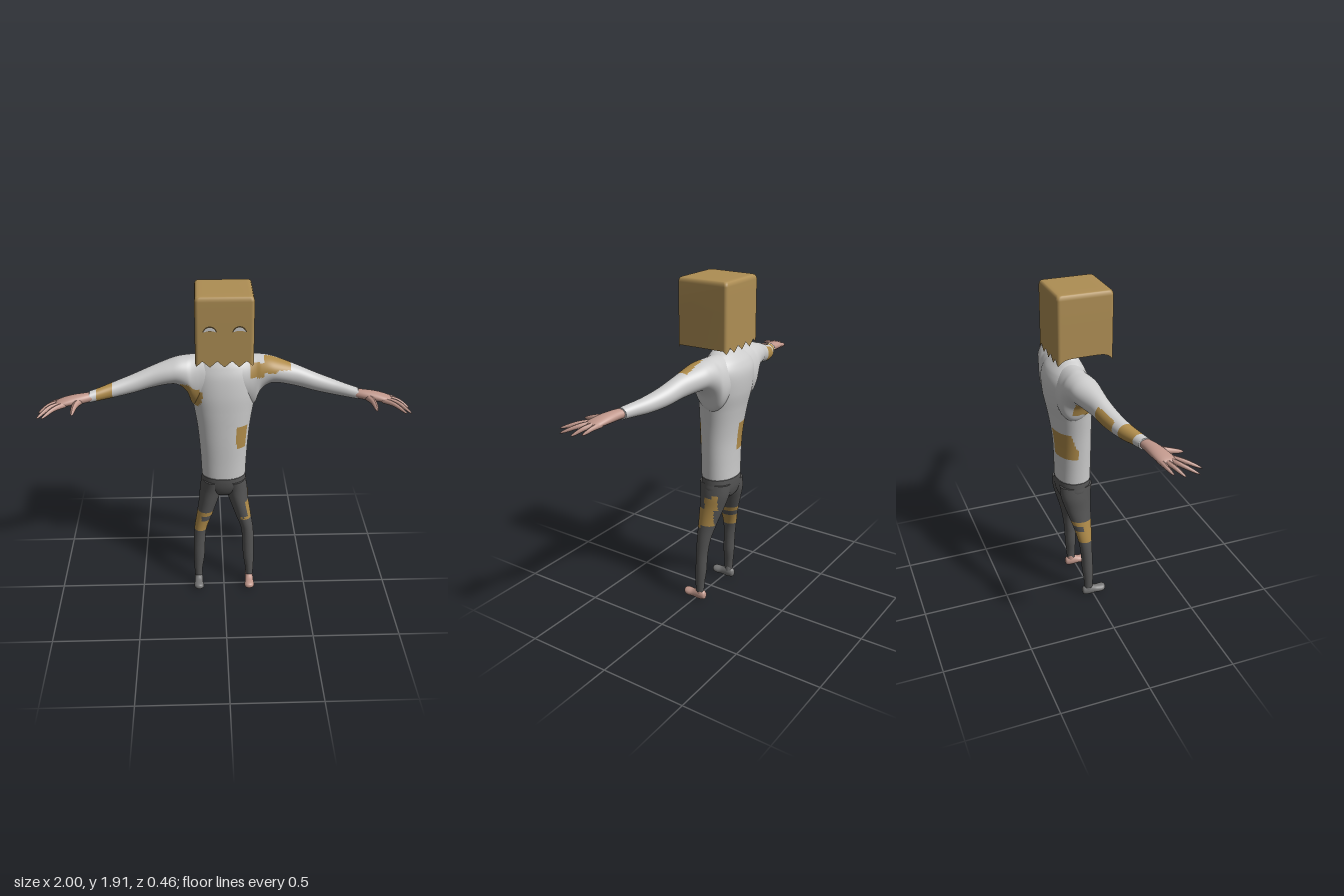
import * as THREE from 'three';

const COLORS = { shirt: 0xcccccc, patch: 0xb08c4a, trousers: 0x545454, skin: 0xc0978b, sock: 0x757575, bag: 0xae8e54, dark: 0x4a3c24 };
const mats = {};
const mat = (key) => (mats[key] ??= new THREE.MeshStandardMaterial({ color: COLORS[key], roughness: 0.9, side: THREE.DoubleSide }));

function addMesh(group, name, geometry, key) {
  const mesh = new THREE.Mesh(geometry, mat(key));
  mesh.name = name;
  group.add(mesh);
  return mesh;
}

// Catmull-Rom sampling of rows of numbers
function sample(rows, n) {
  const at = (i) => rows[Math.min(rows.length - 1, Math.max(0, i))];
  return Array.from({ length: n + 1 }, (_, k) => {
    const f = (k / n) * (rows.length - 1), i = Math.min(Math.floor(f), rows.length - 2), t = f - i;
    return at(i).map((b, c) => {
      const a = at(i - 1)[c], d = at(i + 1)[c], e = at(i + 2)[c];
      return b + 0.5 * t * (d - a + t * (2 * a - 5 * b + 4 * d - e + t * (3 * (b - d) + e - a)));
    });
  });
}

// Smooth closed loft along an axis. Each section: [t, uCentre, uHalf, vCentre, vHalf],
// with (u, v) = (y, z) along x, (z, x) along y, (x, y) along z. Faces where
// paint(x, y, z) is true go to a second mesh in the patch colour.
function loft(group, name, key, axis, sections, { rings = 40, sides = 32, power = 2, mirror = 1, paint } = {}) {
  const w = 'xyz'.indexOf(axis), u = (w + 1) % 3, v = (w + 2) % 3;
  const pos = [], plain = [], patched = [];
  const rows = sample(sections, rings);
  const push = (t, a, b) => {
    const p = [0, 0, 0];
    p[w] = t; p[u] = a; p[v] = b;
    pos.push(p[0] * mirror, p[1], p[2]);
  };
  const bend = (c) => Math.sign(c) * Math.abs(c) ** (2 / power);
  for (const [t, uc, uh, vc, vh] of rows) {
    for (let j = 0; j < sides; j++) {
      const a = (j / sides) * Math.PI * 2;
      push(t, uc + uh * bend(Math.cos(a)), vc + vh * bend(Math.sin(a)));
    }
  }
  for (const r of [rows[0], rows[rings]]) push(r[0], r[1], r[3]);
  const face = (a, b, c, list) => list.push(...(mirror > 0 ? [a, b, c] : [a, c, b]));
  const first = (rings + 1) * sides;
  for (let j = 0; j < sides; j++) {
    const k = (j + 1) % sides;
    for (let i = 0; i < rings; i++) {
      const a = i * sides + j, b = i * sides + k, c = b + sides, d = a + sides;
      const mid = [0, 1, 2].map((q) => (pos[a * 3 + q] + pos[c * 3 + q]) / 2);
      const list = paint && paint(...mid) ? patched : plain;
      face(a, b, c, list);
      face(a, c, d, list);
    }
    face(first, k, j, plain);
    face(first + 1, rings * sides + j, rings * sides + k, plain);
  }
  const whole = new THREE.BufferGeometry();
  whole.setAttribute('position', new THREE.Float32BufferAttribute(pos, 3));
  whole.setIndex([...plain, ...patched]);
  whole.computeVertexNormals();
  const part = (index) => whole.clone().setIndex(index);
  addMesh(group, name, part(plain), key);
  if (patched.length) addMesh(group, name + 'Patches', part(patched), 'patch');
}

// Tapered round finger along a curve
function finger(group, name, points, radius, mirror) {
  const curve = new THREE.CatmullRomCurve3(points.map(([x, y, z]) => new THREE.Vector3(x * mirror, y, z)));
  const n = 14, sides = 10;
  const geo = new THREE.TubeGeometry(curve, n, radius, sides);
  const p = geo.attributes.position, q = new THREE.Vector3();
  for (let i = 0; i <= n; i++) {
    const t = i / n, c = curve.getPointAt(t);
    const s = (1 - 0.5 * t) * Math.sqrt(Math.max(0, 1 - t ** 7));
    for (let j = 0; j <= sides; j++) {
      const k = i * (sides + 1) + j;
      q.fromBufferAttribute(p, k).sub(c).multiplyScalar(s).add(c);
      p.setXYZ(k, q.x, q.y, q.z);
    }
  }
  geo.computeVertexNormals();
  addMesh(group, name, geo, 'skin');
}

const between = (v, a, b) => v > a && v < b;

// Where the sewn patches lie
function shirtPatch(x, y, z) {
  const chest = x > 0.07 && z > -0.02 && between(y, 0.98, 1.12);
  const back = between(x, -0.14, 0.0) && z < -0.08 && between(y, 0.94, 1.11);
  const armpit = x < -0.12 && x > -0.24 && z > -0.13 && y < 1.37 && between(y + 0.55 * x, 1.15, 1.262) && y - 1.25 * x > 1.42 && y > 1.23;
  const shoulder = z > -0.1 && ((between(x, 0.145, 0.22) && between(y, 1.41, 1.485)) ||
    (between(x, 0.2199, 0.29) && y > 1.435) || (between(x, 0.2899, 0.37) && y > 1.447));
  const forearm = between(x, -0.69, -0.61);
  const elbow = between(x, -0.57, -0.45) && z < -0.09 - 0.32 * (x + 0.45) && y > 1.34;
  return chest || back || armpit || shoulder || forearm || elbow;
}
function trouserPatch(x, y, z) {
  if (x < 0) return between(y, 0.4, 0.535) && !(between(y, 0.475, 0.505) && (x > -0.135 || z < -0.06));
  return x > 0.1 && ((between(y, 0.48, 0.5) && between(z, -0.035, 0)) || (between(y, 0.4999, 0.6) && between(z, -0.11, -0.01)) ||
    (between(y, 0.5999, 0.67) && between(z, -0.13, -0.05)) || (between(y, 0.6699, 0.69) && between(z, -0.13, -0.095)));
}

// Open paper bag with a ragged hem and rounded top
function bagGeometry() {
  const h = 0.155, r = 0.018, c = h - r, outline = new THREE.Shape();
  outline.moveTo(h, -c);
  [[c, c], [-c, c], [-c, -c], [c, -c]].forEach(([x, y], i) => outline.absarc(x, y, r, (i * Math.PI) / 2, ((i + 1) * Math.PI) / 2));
  const pts = outline.getSpacedPoints(240).slice(0, 240), n = pts.length;
  const hem = (x, z) => {
    const m = (Math.abs(x) / 0.0775) % 1;
    return Math.abs(z) >= Math.abs(x) ? 1.528 + 0.07 * Math.min(m, 1 - m) : 1.57 - 0.042 * (Math.abs(z) / h) ** 6;
  };
  const rows = [[0, 1], [1.6, 1], [1.75, 1], [1.885, 1], [1.898, 0.983], [1.907, 0.95], [1.91, 0.9], [1.911, 0.8], [1.911, 0.4], [1.911, 0]];
  const pos = [], index = [];
  rows.forEach(([y, s], i) => pts.forEach((p) => pos.push(p.x * s, i ? y : hem(p.x, p.y), -p.y * s - 0.045)));
  for (let i = 0; i < rows.length - 1; i++) {
    for (let j = 0; j < n; j++) {
      const a = i * n + j, b = i * n + ((j + 1) % n);
      index.push(a, b, b + n, a, b + n, a + n);
    }
  }
  const geo = new THREE.BufferGeometry();
  geo.setAttribute('position', new THREE.Float32BufferAttribute(pos, 3));
  geo.setIndex(index);
  geo.computeVertexNormals();
  return geo;
}

// Arched eye opening
function eyeGeometry(w, top, bottom) {
  const s = new THREE.Shape();
  s.moveTo(-w, -0.012);
  s.quadraticCurveTo(-w * 0.7, top, 0, top);
  s.quadraticCurveTo(w * 0.7, top, w, -0.012);
  s.quadraticCurveTo(0, bottom, -w, -0.012);
  return new THREE.ShapeGeometry(s, 16);
}

export function createModel() {
  const model = new THREE.Group();
  model.name = 'baggedFigure';

  // Head inside the bag
  addMesh(model, 'bag', bagGeometry(), 'bag');
  const head = addMesh(model, 'head', new THREE.SphereGeometry(0.1, 32, 24), 'skin');
  head.scale.set(0.95, 1.3, 1);
  head.position.set(0, 1.7, -0.06);
  addMesh(model, 'neck', new THREE.CylinderGeometry(0.042, 0.052, 0.14, 32), 'skin').position.set(0, 1.57, -0.085);
  for (const s of [1, -1]) {
    addMesh(model, 'eyeRim', eyeGeometry(0.039, 0.021, 0.002), 'dark').position.set(0.077 * s, 1.737, 0.1115);
    addMesh(model, 'eye', eyeGeometry(0.033, 0.014, 0.005), 'shirt').position.set(0.077 * s, 1.737, 0.113);
  }

  // Shirt body and collar
  loft(model, 'shirt', 'shirt', 'y', [
    [0.78, -0.072, 0.1, 0, 0.128], [0.88, -0.072, 0.1, 0, 0.132], [1.0, -0.073, 0.103, 0, 0.14], [1.1, -0.079, 0.109, 0, 0.15],
    [1.2, -0.088, 0.117, 0, 0.166], [1.3, -0.1, 0.125, 0, 0.185], [1.4, -0.11, 0.12, 0, 0.19], [1.46, -0.11, 0.1, 0, 0.17],
    [1.5, -0.102, 0.072, 0, 0.125], [1.525, -0.092, 0.052, 0, 0.075], [1.54, -0.09, 0.047, 0, 0.06],
  ], { rings: 110, sides: 96, power: 2.15, paint: shirtPatch });
  const collar = addMesh(model, 'collar', new THREE.TorusGeometry(0.055, 0.008, 10, 40), 'shirt');
  collar.rotation.x = Math.PI / 2 + 0.12;
  collar.position.set(0, 1.528, -0.088);

  // Trouser seat
  loft(model, 'trouserSeat', 'trousers', 'y', [
    [0.636, -0.075, 0.03, 0, 0.02], [0.645, -0.076, 0.055, 0, 0.05], [0.67, -0.077, 0.08, 0, 0.1],
    [0.71, -0.075, 0.094, 0, 0.132], [0.75, -0.073, 0.099, 0, 0.13], [0.79, -0.072, 0.099, 0, 0.125],
  ], { sides: 64, power: 2.15 });

  for (const s of [1, -1]) {
    const side = s > 0 ? 'left' : 'right';

    // Sleeve, widening into the shoulder
    loft(model, side + 'Sleeve', 'shirt', 'x', [
      [0.0, 1.4, 0.114, -0.1, 0.09], [0.08, 1.38, 0.132, -0.105, 0.1], [0.14, 1.36, 0.152, -0.107, 0.1], [0.175, 1.367, 0.145, -0.105, 0.096],
      [0.205, 1.405, 0.104, -0.102, 0.092], [0.25, 1.424, 0.08, -0.095, 0.085], [0.3, 1.422, 0.069, -0.088, 0.078], [0.4, 1.4, 0.06, -0.066, 0.057],
      [0.5, 1.372, 0.052, -0.043, 0.051], [0.6, 1.352, 0.043, -0.012, 0.044], [0.68, 1.341, 0.035, 0.022, 0.037], [0.73, 1.335, 0.031, 0.042, 0.034],
    ], { rings: 110, sides: 60, mirror: s, paint: shirtPatch });

    // Hand
    const hand = new THREE.Group();
    hand.name = side + 'Hand';
    model.add(hand);
    loft(hand, 'palm', 'skin', 'x', [
      [0.7, 1.337, 0.024, 0.036, 0.028], [0.76, 1.334, 0.027, 0.055, 0.036], [0.82, 1.33, 0.026, 0.068, 0.043],
      [0.87, 1.324, 0.021, 0.079, 0.045], [0.9, 1.318, 0.016, 0.085, 0.04], [0.915, 1.315, 0.008, 0.089, 0.026],
    ], { rings: 24, sides: 28, mirror: s });
    const fingers = {
      littleFinger: [[0.87, 1.32, 0.05], [0.925, 1.312, 0.06], [0.975, 1.29, 0.08]],
      ringFinger: [[0.88, 1.32, 0.072], [0.94, 1.314, 0.093], [1.0, 1.283, 0.13]],
      middleFinger: [[0.87, 1.32, 0.092], [0.935, 1.316, 0.13], [1.0, 1.285, 0.2]],
      indexFinger: [[0.86, 1.32, 0.106], [0.912, 1.318, 0.155], [0.97, 1.296, 0.225]],
      thumb: [[0.775, 1.328, 0.065], [0.802, 1.322, 0.125], [0.812, 1.305, 0.207]],
    };
    for (const [name, pts] of Object.entries(fingers)) finger(hand, name, pts, name === 'thumb' ? 0.021 : 0.0155, s);

    // Trouser leg
    loft(model, side + 'TrouserLeg', 'trousers', 'y', [
      [0.06, -0.028, 0.025, 0.158, 0.022], [0.12, -0.029, 0.028, 0.157, 0.026], [0.2, -0.033, 0.033, 0.152, 0.033], [0.3, -0.037, 0.034, 0.149, 0.035],
      [0.4, -0.045, 0.041, 0.141, 0.037], [0.5, -0.055, 0.056, 0.115, 0.047], [0.6, -0.068, 0.075, 0.09, 0.057],
      [0.68, -0.077, 0.088, 0.073, 0.067], [0.75, -0.073, 0.095, 0.064, 0.064],
    ], { rings: 120, sides: 56, mirror: s, paint: trouserPatch });

    // Foot: bare on the left, in a sock on the right
    loft(model, s > 0 ? 'leftFoot' : 'rightSock', s > 0 ? 'skin' : 'sock', 'z', [
      [-0.066, 0.157, 0.006, 0.034, 0.008], [-0.06, 0.157, 0.018, 0.035, 0.024], [-0.035, 0.157, 0.024, 0.038, 0.034], [-0.01, 0.157, 0.025, 0.037, 0.032],
      [0.02, 0.157, 0.026, 0.032, 0.023], [0.045, 0.156, 0.03, 0.03, 0.023], [0.065, 0.155, 0.028, 0.032, 0.02], [0.077, 0.154, 0.017, 0.034, 0.013], [0.081, 0.154, 0.005, 0.034, 0.004],
    ], { rings: 32, sides: 28, mirror: s });
    const ankle = addMesh(model, side + 'Ankle', new THREE.CylinderGeometry(0.022, 0.024, 0.06, 24), s > 0 ? 'skin' : 'sock');
    ankle.position.set(0.157 * s, 0.06, -0.03);
  }
  return model;
}
